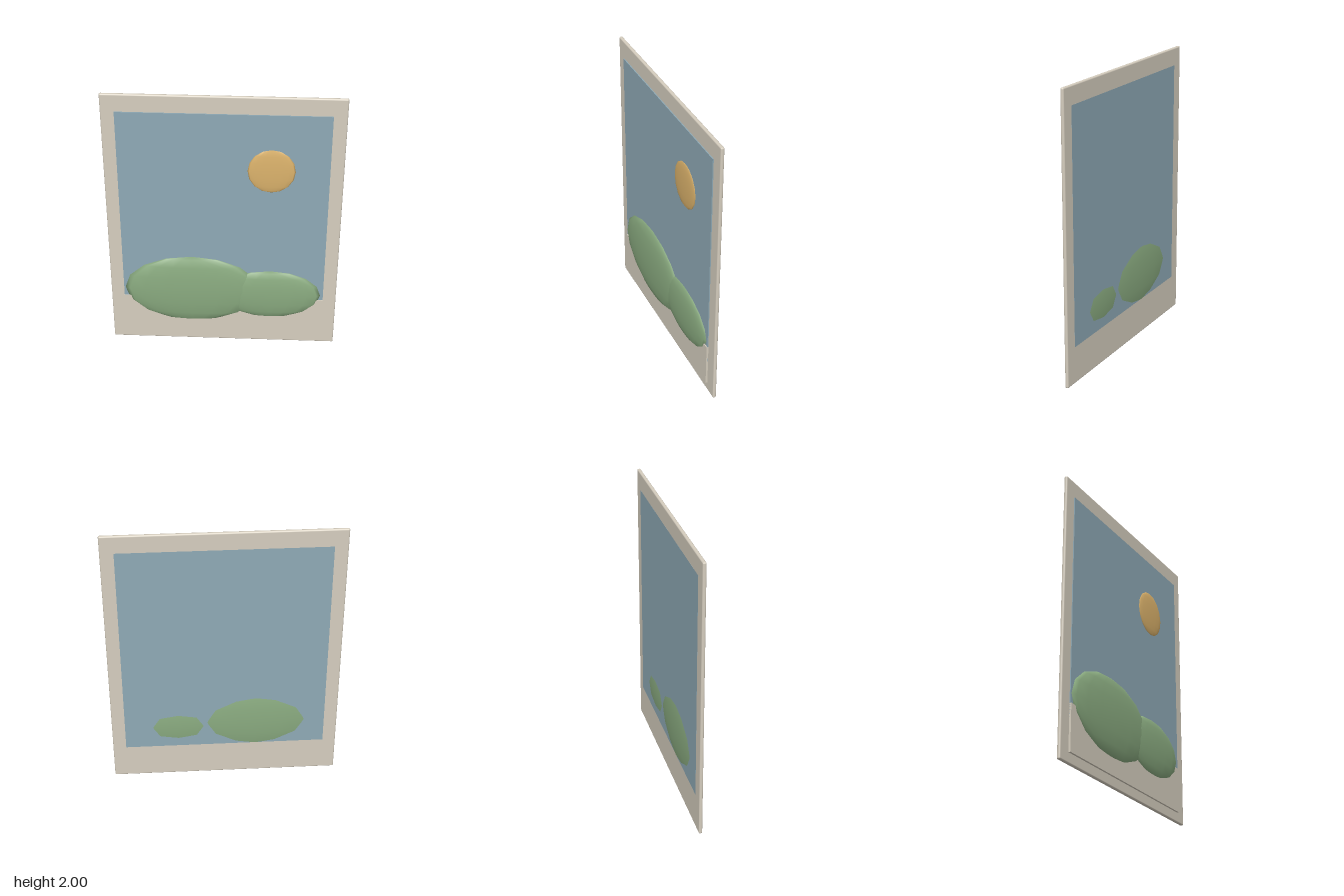
import * as THREE from 'three';
import { RoundedBoxGeometry } from 'three/addons/geometries/RoundedBoxGeometry.js';

export function createModel() {
  const model = new THREE.Group();
  model.name = 'landscapeCard';

  const cream = new THREE.MeshStandardMaterial({ color: 0xd6cebf });
  const blue = new THREE.MeshStandardMaterial({ color: 0x8faab6 });
  const green = new THREE.MeshStandardMaterial({ color: 0x8aab80 });
  const gold = new THREE.MeshStandardMaterial({ color: 0xdcb36c });

  const add = (name, geometry, material, x, y, z) => {
    const mesh = new THREE.Mesh(geometry, material);
    mesh.name = name;
    mesh.position.set(x, y, z);
    model.add(mesh);
    return mesh;
  };

  // Box given by its bottom, top, back and front
  const panel = (name, material, width, y0, y1, z0, z1) =>
    add(name, new THREE.BoxGeometry(width, y1 - y0, z1 - z0), material, 0, (y0 + y1) / 2, (z0 + z1) / 2);

  // Flattened low-poly ball with smooth normals
  const pebble = (name, material, x, y, rx, ry, rz) => {
    const geometry = new THREE.SphereGeometry(1, 16, 8);
    geometry.scale(rx, ry, rz);
    return add(name, geometry, material, x, y, 0);
  };

  // Backing card with softened edges
  add('backingCard', new RoundedBoxGeometry(1.6, 2, 0.025, 2, 0.01), cream, 0, 1, -0.0185);

  // Sky panel runs through the card, lower strip lies over its foot
  panel('skyPanel', blue, 1.416, 0.26, 1.875, -0.0313, 0.001);
  panel('groundStrip', cream, 1.416, 0.07, 0.39, -0.03, 0.008);

  // Sun and the two overlapping hills
  pebble('sun', gold, 0.32, 1.455, 0.162, 0.165, 0.015);
  pebble('largeHill', green, -0.22, 0.46, 0.48, 0.28, 0.045);
  pebble('smallHill', green, 0.33, 0.43, 0.36, 0.203, 0.037);

  return model;
}
